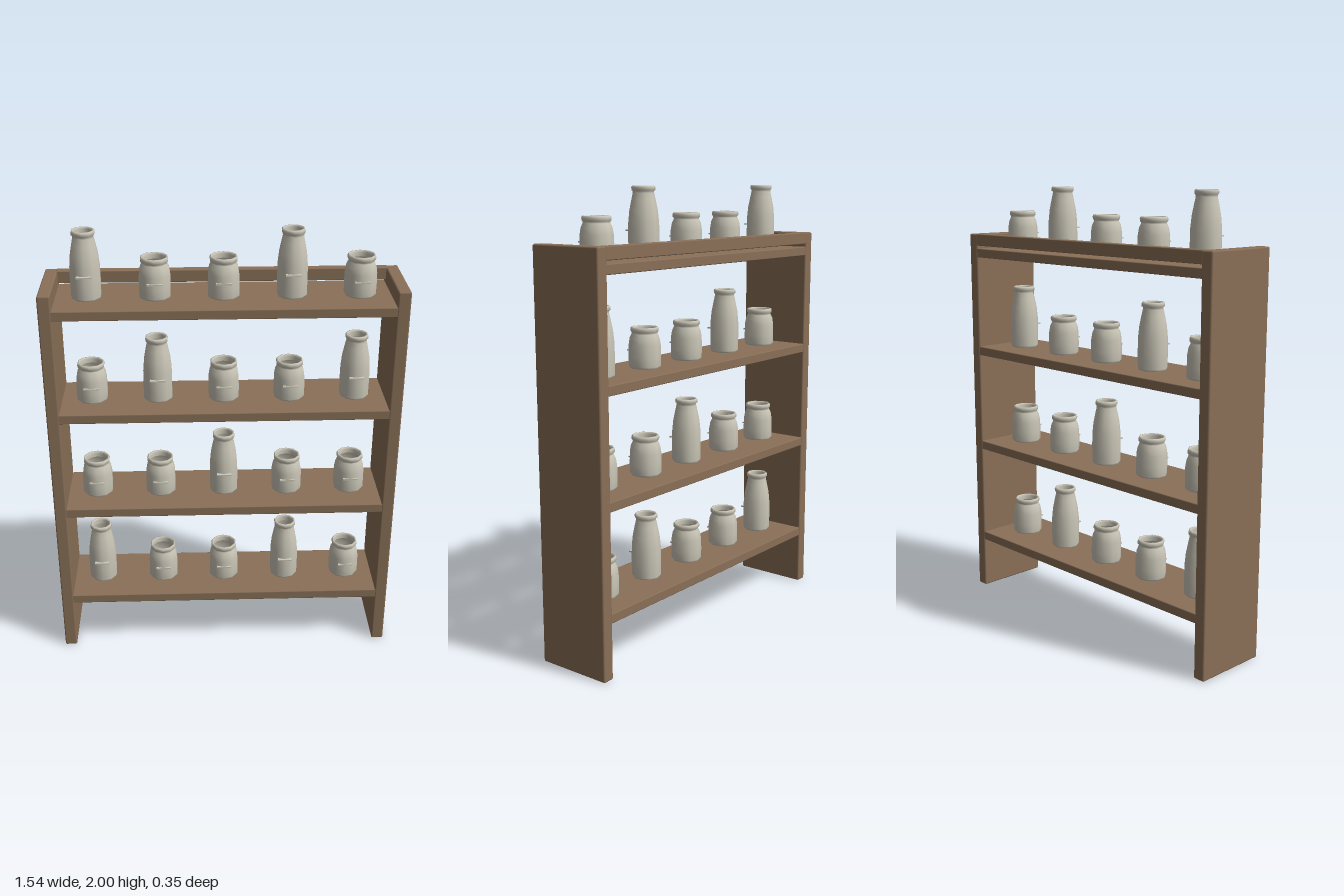
import * as THREE from 'three';
import { RoundedBoxGeometry } from 'three/addons/geometries/RoundedBoxGeometry.js';

const wood = new THREE.MeshStandardMaterial({ color: 0x8a7058 });
const glass = new THREE.MeshStandardMaterial({ color: 0xcbc7b8, side: THREE.DoubleSide });

// Jar profiles [radius, height], from the foot over the lip and into the neck
const tallProfile = [
  [0.06, 0], [0.065, 0.008], [0.066, 0.08], [0.065, 0.14], [0.06, 0.19], [0.051, 0.235],
  [0.045, 0.262], [0.045, 0.27], [0.05, 0.274], [0.051, 0.285], [0.048, 0.292],
  [0.042, 0.292], [0.04, 0.284], [0.04, 0.265],
];
const shortProfile = [
  [0.064, 0], [0.069, 0.008], [0.07, 0.05], [0.069, 0.1], [0.064, 0.13], [0.056, 0.147],
  [0.055, 0.153], [0.06, 0.157], [0.061, 0.168], [0.058, 0.176],
  [0.053, 0.176], [0.05, 0.168], [0.05, 0.15],
];
const lathe = (profile) =>
  new THREE.LatheGeometry(profile.map(([r, y]) => new THREE.Vector2(r, y)), 10);
const tallGeometry = lathe(tallProfile);
const shortGeometry = lathe(shortProfile);
const tabGeometry = new THREE.BoxGeometry(0.066, 0.006, 0.03);

function board(name, w, h, d, x, y, z, bevel = 0.004) {
  const mesh = new THREE.Mesh(new RoundedBoxGeometry(w, h, d, 1, bevel), wood);
  mesh.name = name;
  mesh.position.set(x, y, z);
  return mesh;
}

// Open jar with a thin tab on its front
function jar(tall) {
  const group = new THREE.Group();
  group.name = tall ? 'tallJar' : 'shortJar';
  const body = new THREE.Mesh(tall ? tallGeometry : shortGeometry, glass);
  body.name = 'jarBody';
  const tab = new THREE.Mesh(tabGeometry, glass);
  tab.name = 'frontTab';
  tab.position.set(0, tall ? 0.108 : 0.073, tall ? 0.058 : 0.056);
  group.add(body, tab);
  return group;
}

export function createModel() {
  const model = new THREE.Group();
  model.name = 'jarShelf';

  // Side panels
  for (const s of [1, -1]) {
    model.add(board(s > 0 ? 'leftPanel' : 'rightPanel', 0.055, 1.775, 0.35, s * 0.741, 0.8875, 0, 0.007));
  }
  // Rail along the top of the back
  model.add(board('backRail', 1.44, 0.055, 0.04, 0, 1.748, -0.155));

  // Shelves with their jars: T is tall, s is short, listed from -x to +x
  const rows = ['TssTs', 'ssTss', 'sTssT', 'TssTs'];
  rows.forEach((row, i) => {
    const top = 0.286 + i * 0.4737;
    model.add(board('shelf', 1.44, 0.042, 0.346, 0, top - 0.021, 0));
    [...row].forEach((kind, j) => {
      const item = jar(kind === 'T');
      item.position.set((j - 2) * 0.29, top, 0);
      model.add(item);
    });
  });
  return model;
}
